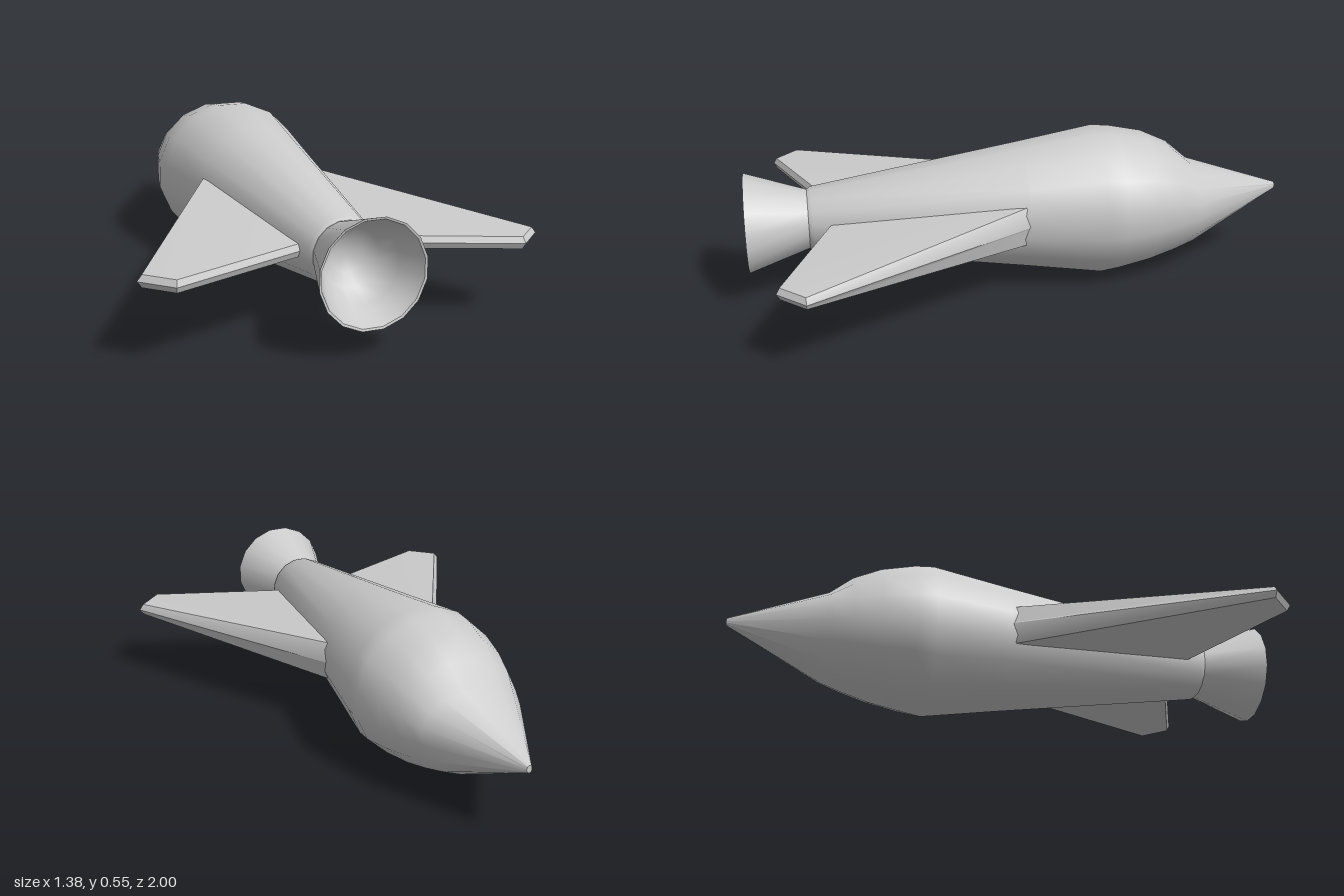
import * as THREE from 'three';
import { toCreasedNormals } from 'three/addons/utils/BufferGeometryUtils.js';

const SIDES = 16;
const AXIS_Y = 0.275;
const FLAT = Math.cos(Math.PI / SIDES); // flat-to-corner ratio of the polygon
const grey = new THREE.MeshStandardMaterial({ color: 0xcccccc });

function indexed(points, index, crease) {
  const g = new THREE.BufferGeometry();
  g.setAttribute('position', new THREE.Float32BufferAttribute(points, 3));
  g.setIndex(index);
  return toCreasedNormals(g, crease);
}

// Rings along z: [z, half width, height above axis, depth below axis]
function hullGeometry() {
  const rings = [
    [-1, 0.01, 0.013, 0.013],
    [-0.65, 0.19, 0.125, 0.187],
    [-0.57, 0.222, 0.195, 0.213],
    [-0.47, 0.251, 0.242, 0.241],
    [-0.35, 0.278, 0.267, 0.262],
    [-0.28, 0.274, 0.275, 0.275],
    [0, 0.231, 0.231, 0.231],
    [0.765, 0.117, 0.117, 0.117],
    [0.78, 0.108, 0.108, 0.108],
  ];
  const p = [], idx = [];
  for (const [z, w, up, down] of rings) {
    for (let i = 0; i < SIDES; i++) {
      const a = ((i + 0.5) / SIDES) * Math.PI * 2;
      const s = Math.sin(a);
      p.push((Math.cos(a) * w) / FLAT, (s * (s > 0 ? up : down)) / FLAT, z);
    }
  }
  for (let r = 0; r < rings.length - 1; r++) {
    for (let i = 0; i < SIDES; i++) {
      const j = (i + 1) % SIDES;
      const a = r * SIDES + i, b = r * SIDES + j;
      idx.push(a, b, b + SIDES, a, b + SIDES, a + SIDES);
    }
  }
  // end caps
  const last = (rings.length - 1) * SIDES;
  for (let i = 1; i < SIDES - 1; i++) {
    idx.push(0, i + 1, i, last, last + i, last + i + 1);
  }
  return indexed(p, idx, 0.7);
}

// Wing outline corners: [x, z, inset x, inset z, half thickness]
function wingGeometry() {
  const corners = [
    [0.1, -0.23, 0.09, -0.21, 0.087], // leading root, inside the hull
    [0.688, 0.806, 0.672, 0.806, 0.021], // leading tip
    [0.592, 0.9, 0.588, 0.888, 0.021], // trailing tip
    [0.05, 0.682, 0.05, 0.672, 0.022], // trailing root, inside the hull
  ];
  const p = [], idx = [];
  for (const [x, z, ix, iz, h] of corners) p.push(ix, h, iz, x, 0, z, ix, -h, iz);
  for (let i = 0; i < 4; i++) {
    const a = i * 3, b = ((i + 1) % 4) * 3;
    for (let k = 0; k < 2; k++) {
      idx.push(a + k, b + k, b + k + 1, a + k, b + k + 1, a + k + 1);
    }
  }
  idx.push(0, 6, 3, 0, 9, 6); // upper skin
  idx.push(2, 5, 8, 2, 8, 11); // lower skin
  return indexed(p, idx, 0.5);
}

// Hollow bell with a thin rim and a rounded inside
function nozzleGeometry() {
  const profile = [
    [0.1, 0.76], [0.11, 0.79], [0.18, 1], [0.172, 0.998],
    [0.135, 0.9], [0.098, 0.83], [0.055, 0.8], [0, 0.79],
  ].map(([r, z]) => new THREE.Vector2(r / FLAT, z));
  const g = new THREE.LatheGeometry(profile, SIDES, Math.PI / SIDES);
  g.rotateX(Math.PI / 2);
  return toCreasedNormals(g, 0.7);
}

export function createModel() {
  const group = new THREE.Group();
  group.name = 'rocketPlane';
  const add = (name, geometry) => {
    const mesh = new THREE.Mesh(geometry, grey);
    mesh.name = name;
    mesh.position.y = AXIS_Y;
    group.add(mesh);
    return mesh;
  };
  add('hull', hullGeometry());
  add('nozzle', nozzleGeometry());

  // The wing is symmetric top to bottom, so a half turn makes the other side
  const wing = wingGeometry();
  add('leftWing', wing);
  add('rightWing', wing).rotation.z = Math.PI;
  return group;
}
